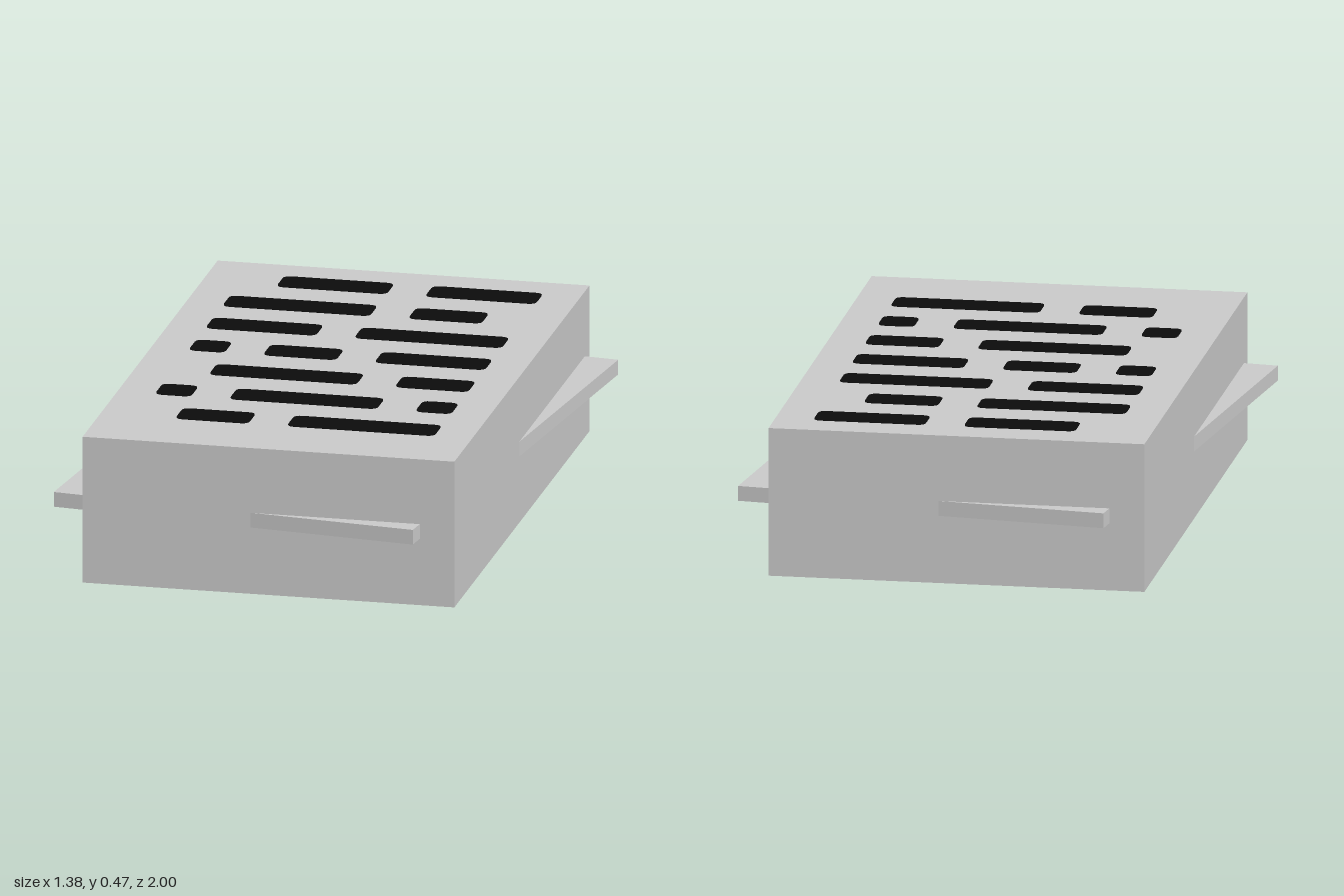
import * as THREE from 'three';

const W = 1.167, H = 0.467, D = 1.87;
const UNIT = W / 10, ROW_STEP = UNIT * 2;

// Each row lists [start, end] of its dashes, in units across the top
const ROWS = [
  [[-3, 0], [1, 4]],
  [[-4, 0], [1, 3]],
  [[-4, -1], [0, 4]],
  [[-4, -3], [-2, 0], [1, 4]],
  [[-3, 1], [2, 4]],
  [[-4, -3], [-2, 2], [3, 4]],
  [[-3, -1], [0, 4]],
];

// Rounded dash outline centred on the origin
function dashShape(w, h, r) {
  const s = new THREE.Shape();
  const x = w / 2, y = h / 2;
  s.moveTo(-x + r, -y);
  s.lineTo(x - r, -y);
  s.quadraticCurveTo(x, -y, x, -y + r);
  s.lineTo(x, y - r);
  s.quadraticCurveTo(x, y, x - r, y);
  s.lineTo(-x + r, y);
  s.quadraticCurveTo(-x, y, -x, y - r);
  s.lineTo(-x, -y + r);
  s.quadraticCurveTo(-x, -y, -x + r, -y);
  return s;
}

export function createModel() {
  const group = new THREE.Group();
  group.name = 'block';
  const grey = new THREE.MeshStandardMaterial({ color: 0xcccccc });
  grey.name = 'lightGrey';
  const black = new THREE.MeshStandardMaterial({ color: 0x0c0c0c });
  black.name = 'black';

  // Main body
  const body = new THREE.Mesh(new THREE.BoxGeometry(W, H, D), grey);
  body.name = 'body';
  body.position.y = H / 2;
  group.add(body);

  // Thin slab of the same outline, twisted so its corners poke out
  const slab = new THREE.Mesh(new THREE.BoxGeometry(W, 0.047, D), grey);
  slab.name = 'twistedSlab';
  slab.position.y = 0.236;
  slab.rotation.y = -0.12;
  group.add(slab);

  // Painted dashes on the top
  const dashes = new THREE.Group();
  dashes.name = 'topDashes';
  ROWS.forEach((row, i) => {
    for (const [a, b] of row) {
      const shape = dashShape((b - a) * UNIT - 0.004, 0.111, 0.025);
      const geometry = new THREE.ExtrudeGeometry(shape, { depth: 0.002, bevelEnabled: false, curveSegments: 4 });
      geometry.rotateX(-Math.PI / 2);
      const dash = new THREE.Mesh(geometry, black);
      dash.name = 'dash';
      dash.position.set((a + b) / 2 * UNIT, H, -0.764 + i * ROW_STEP);
      dashes.add(dash);
    }
  });
  group.add(dashes);
  return group;
}
